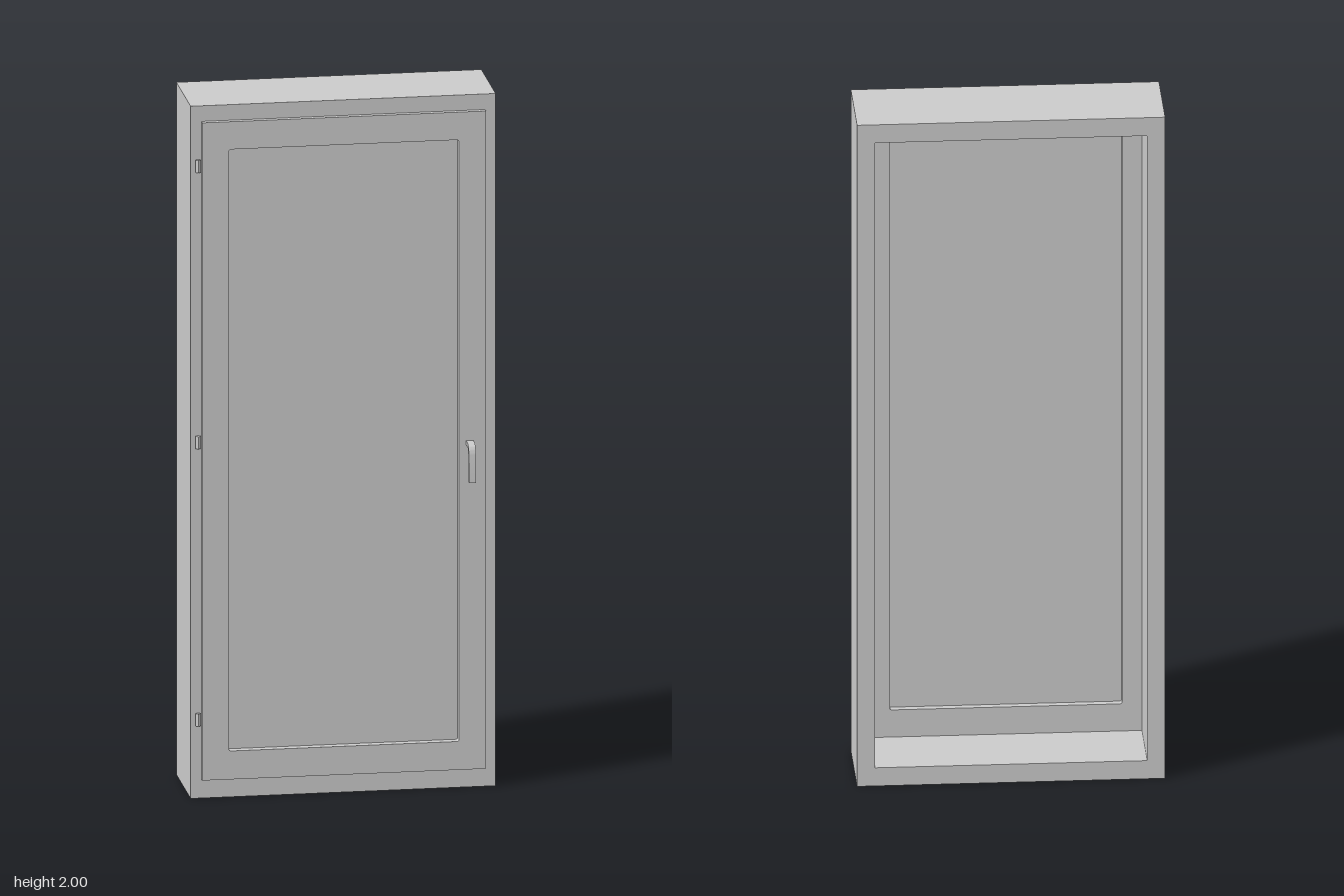
import * as THREE from 'three';
import { toCreasedNormals } from 'three/addons/utils/BufferGeometryUtils.js';

const material = new THREE.MeshStandardMaterial({ color: 0xcccccc });

function addMesh(group, name, geometry) {
  const mesh = new THREE.Mesh(geometry, material);
  mesh.name = name;
  group.add(mesh);
  return mesh;
}

// Rectangle outline centred on x = 0, with optional small corner radius
function rectangle(halfWidth, bottom, top, radius, Type) {
  const path = new Type();
  const w = halfWidth, r = radius;
  path.moveTo(-w + r, bottom);
  path.lineTo(w - r, bottom);
  if (r) path.quadraticCurveTo(w, bottom, w, bottom + r);
  path.lineTo(w, top - r);
  if (r) path.quadraticCurveTo(w, top, w - r, top);
  path.lineTo(-w + r, top);
  if (r) path.quadraticCurveTo(-w, top, -w, top - r);
  path.lineTo(-w, bottom + r);
  if (r) path.quadraticCurveTo(-w, bottom, -w + r, bottom);
  return path;
}

// Rectangular ring from zBack to zFront; outer and inner are [halfWidth, bottom, top, radius]
function ring(outer, inner, zBack, zFront) {
  const shape = rectangle(...outer, THREE.Shape);
  shape.holes.push(rectangle(...inner, THREE.Path));
  const geometry = new THREE.ExtrudeGeometry(shape, {
    depth: zFront - zBack, bevelEnabled: false, curveSegments: 4,
  });
  return geometry.translate(0, 0, zBack);
}

export function createModel() {
  const model = new THREE.Group();
  model.name = 'framedDoor';

  const opening = [0.38, 0.055, 1.945, 0];
  const paneHole = [0.324, 0.137, 1.875, 0.006];

  // Deep outer frame
  addMesh(model, 'outerFrame', ring([0.43, 0, 2, 0], opening, -0.163, 0.092));

  // Door leaf: body inside the opening and a wider lip over the frame face
  const door = new THREE.Group();
  door.name = 'door';
  model.add(door);
  addMesh(door, 'doorBody', ring(opening, paneHole, 0.053, 0.092));
  addMesh(door, 'doorLip', ring([0.4, 0.055, 1.955, 0], paneHole, 0.092, 0.108));

  // Recessed panel
  const panel = addMesh(door, 'panel', new THREE.BoxGeometry(0.656, 1.746, 0.011));
  panel.position.set(0, 1.006, 0.0785);

  // Four-sided hinge pins along the right edge
  for (const y of [0.229, 1.03, 1.828]) {
    const pin = addMesh(model, 'hinge', toCreasedNormals(
      new THREE.CylinderGeometry(0.008, 0.008, 0.036, 4), 0.5));
    pin.position.set(-0.41, y, 0.1);
  }

  // Bent flat handle: side profile (z, y) extruded across x
  const profile = new THREE.Shape();
  profile.moveTo(0.106, 1.005);
  profile.lineTo(0.13, 1.006);
  profile.bezierCurveTo(0.15, 1.006, 0.158, 0.994, 0.16, 0.97);
  profile.lineTo(0.163, 0.897);
  profile.lineTo(0.15, 0.897);
  profile.lineTo(0.149, 0.965);
  profile.bezierCurveTo(0.148, 0.986, 0.142, 0.994, 0.13, 0.994);
  profile.lineTo(0.106, 0.993);
  const handle = new THREE.ExtrudeGeometry(profile, {
    depth: 0.02, bevelEnabled: false, curveSegments: 10,
  });
  handle.rotateY(-Math.PI / 2).translate(0.364, 0, 0);
  addMesh(door, 'handle', toCreasedNormals(handle, 0.6));

  return model;
}
